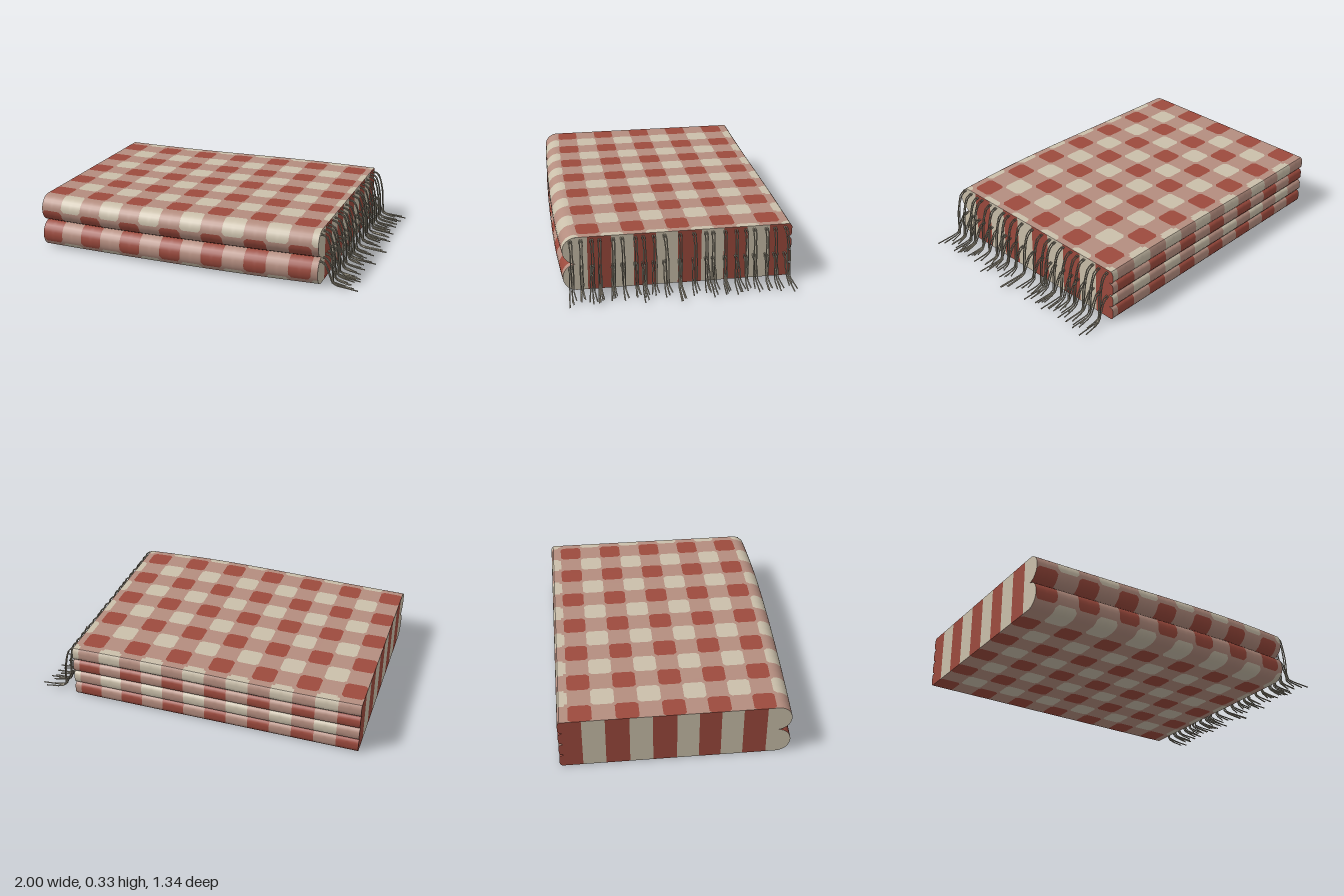
import * as THREE from 'three';

const CELL_X = 0.1316, SUB = 8, X0 = -1, X1 = 0.75;
const H = 0.33, R = H / 4, LOBE_Z = 0.583, BACK_Z = -0.659, INNER_Z = -0.645;

const flat = (name, color) => {
  const m = new THREE.MeshStandardMaterial({ color });
  m.name = name;
  return m;
};

// Gentle bulge of the folded edge and undulation of the top
function warp(x, y, z) {
  const d = x > 0.15 ? 0.02 * ((x - 0.15) / 0.6) ** 2 : 0.03 * ((0.15 - x) / 1.15) ** 2;
  return [x, y * (0.988 + 0.012 * Math.cos(3.5 * (x - 0.3))), z - d * Math.max(0, z / 0.665)];
}

// Gingham colour index: 0 red, 1 cream, 2 blend; solid squares have rounded corners
function gingham(u, v) {
  const cu = Math.floor(u), cv = Math.floor(v);
  const odd = Math.abs(cu % 2);
  if (odd !== Math.abs(cv % 2)) return 2;
  const r = 0.22;
  const dx = Math.max(0, Math.abs(u - cu - 0.5) - (0.5 - r));
  const dy = Math.max(0, Math.abs(v - cv - 0.5) - (0.5 - r));
  return Math.hypot(dx, dy) > r ? 2 : odd;
}

// Sweeps a (z, y) path along x and sorts its triangles by check colour
function clothStrip(path, v0, cell) {
  const len = path.getLength();
  const n = Math.max(6, Math.round(len / cell * SUB));
  const pts = path.getSpacedPoints(n);
  const nx = Math.ceil((X1 - X0) / CELL_X * SUB);
  const pos = [], uv = [], buckets = [[], [], []];
  for (let j = 0; j <= n; j++) {
    for (let i = 0; i <= nx; i++) {
      const x = Math.min(X1, X0 + i * CELL_X / SUB);
      pos.push(...warp(x, pts[j].y, pts[j].x));
      uv.push([(x - X0) / CELL_X, v0 + len * j / n / cell]);
    }
  }
  const tri = (a, b, c) => {
    const mid = k => (uv[a][k] + uv[b][k] + uv[c][k]) / 3;
    buckets[gingham(mid(0), mid(1))].push(a, b, c);
  };
  for (let j = 0; j < n; j++) {
    for (let i = 0; i < nx; i++) {
      const a = j * (nx + 1) + i, b = a + nx + 1, c = a + 1, d = b + 1;
      const fu = (uv[a][0] + uv[d][0]) / 2 % 1, fv = (uv[a][1] + uv[d][1]) / 2 % 1;
      if ((fu < 0.5) === (Math.abs(fv) < 0.5)) { tri(a, b, c); tri(b, d, c); }
      else { tri(a, b, d); tri(a, d, c); }
    }
  }
  const g = new THREE.BufferGeometry();
  g.setAttribute('position', new THREE.Float32BufferAttribute(pos, 3));
  g.setIndex(buckets.flat());
  let start = 0;
  buckets.forEach((b, k) => { if (b.length) g.addGroup(start, b.length, k); start += b.length; });
  g.computeVertexNormals();
  return g;
}

// Flat piece of a cut end, given as (z, y) points
function capPiece(points, side) {
  const shape = new THREE.Shape(points.map(([z, y]) => new THREE.Vector2(-side * z, y)));
  const g = new THREE.ShapeGeometry(shape).rotateY(side * Math.PI / 2);
  const p = g.attributes.position;
  const x = side > 0 ? X1 : X0;
  for (let i = 0; i < p.count; i++) p.setXYZ(i, ...warp(x, p.getY(i), p.getZ(i)));
  return g;
}

export function createModel() {
  const model = new THREE.Group();
  model.name = 'foldedBlanket';
  const red = flat('red', 0x9c4a3d), cream = flat('cream', 0xcabfaa), blend = flat('rose', 0xb48d7f);
  const yarn = flat('yarn', 0xaaa28f);
  const checks = [red, cream, blend];
  const add = (parent, name, geo, mat) => {
    const m = new THREE.Mesh(geo, mat);
    m.name = name;
    parent.add(m);
  };

  // Checked cloth surfaces
  const top = new THREE.Path().moveTo(BACK_Z, H).lineTo(0.57, H);
  add(model, 'topCloth', clothStrip(top, -0.375, 0.1311), checks);
  const upper = new THREE.Path().moveTo(0.57, H).lineTo(LOBE_Z, H);
  upper.absarc(LOBE_Z, 3 * R, R, Math.PI / 2, -Math.PI / 2, true);
  add(model, 'upperFold', clothStrip(upper, 9, 0.15), checks);
  const lower = new THREE.Path().moveTo(LOBE_Z, 2 * R);
  lower.absarc(LOBE_Z, R, R, Math.PI / 2, -Math.PI / 2, true);
  lower.lineTo(0.5, 0);
  add(model, 'lowerFold', clothStrip(lower, 12, 0.171), checks);
  const bottom = new THREE.Path().moveTo(0.5, 0).lineTo(BACK_Z, 0);
  add(model, 'bottomCloth', clothStrip(bottom, 14, 0.1288), checks);

  // Four layers stacked at the back
  const layers = [0, 1, 2, 3].map(i => {
    const a = i * R, b = a + R;
    return [
      [i === 0 ? BACK_Z : INNER_Z, a], [-0.667, a + 0.008], [-0.672, a + 0.02],
      [-0.672, b - 0.02], [-0.667, b - 0.008], [i === 3 ? BACK_Z : INNER_Z, b],
    ];
  });
  layers.forEach((pts, i) => {
    const path = new THREE.Path(pts.map(p => new THREE.Vector2(...p)));
    add(model, 'backLayer', clothStrip(path, 24.25 + i % 2, 0.2), checks);
  });

  // Striped cut ends
  const cuts = [LOBE_Z, 0.52, 0.38, 0.25, 0.12, -0.01, -0.145, -0.275, -0.41, -0.54, INNER_Z];
  for (const side of [1, -1]) {
    const end = new THREE.Group();
    end.name = side > 0 ? 'leftEnd' : 'rightEnd';
    model.add(end);
    for (let i = 0; i < cuts.length - 1; i++) {
      const a = cuts[i], b = cuts[i + 1];
      add(end, 'stripe', capPiece([[a, 0], [a, H], [b, H], [b, 0]], side), i % 2 ? red : cream);
    }
    for (const cy of [R, 3 * R]) {
      const arc = [];
      for (let k = 0; k <= 16; k++) {
        const t = -Math.PI / 2 + Math.PI * k / 16;
        arc.push([LOBE_Z + R * Math.cos(t), cy + R * Math.sin(t)]);
      }
      add(end, 'foldEnd', capPiece(arc, side), cream);
    }
    layers.forEach((pts, i) => {
      const inner = [];
      if (i === 3) inner.push([INNER_Z, H]);
      if (i === 0) inner.push([INNER_Z, 0]);
      add(end, 'layerEnd', capPiece([...pts, ...inner], side), red);
    });
  }

  // Fringe: paired strands drop from two layers and splay out on the ground
  let seed = 7;
  const rnd = () => (seed = (seed * 16807) % 2147483647) / 2147483647;
  const fringe = new THREE.Group();
  fringe.name = 'fringe';
  model.add(fringe);
  const zs = [-0.63, -0.57, -0.52, -0.45, -0.4, -0.345, -0.28, -0.21, -0.17, -0.1, -0.02,
    0.07, 0.13, 0.19, 0.235, 0.31, 0.36, 0.435, 0.48, 0.54, 0.6];
  zs.forEach((z, i) => {
    for (const y of [0.31, 0.15]) {
      const lean = (rnd() - 0.5) * 0.04;
      const reach = i === 10 ? 0.997 : 0.89 + rnd() * 0.1;
      for (const s of [-1, 1]) {
        const bend = y > 0.2 ? [[0.785, 0.3], [0.805, 0.25], [0.82, 0.17]] : [[0.775, 0.14], [0.79, 0.12], [0.81, 0.075]];
        const pts = [[0.745, y], ...bend, [0.828, 0.03], [0.86, 0.02], [reach - (s > 0 ? 0 : 0.03), 0.01]]
          .map(([px, py], k) => new THREE.Vector3(px, py,
            z + lean * k / 6 + s * (k === 6 ? 0.012 : 0.005 + 0.003 * (k % 2))));
        const path = new THREE.CurvePath();
        for (let k = 0; k < pts.length - 1; k++) path.add(new THREE.LineCurve3(pts[k], pts[k + 1]));
        add(fringe, 'strand', new THREE.TubeGeometry(path, 16, 0.0038, 5, false), yarn);
      }
    }
  });
  return model;
}
